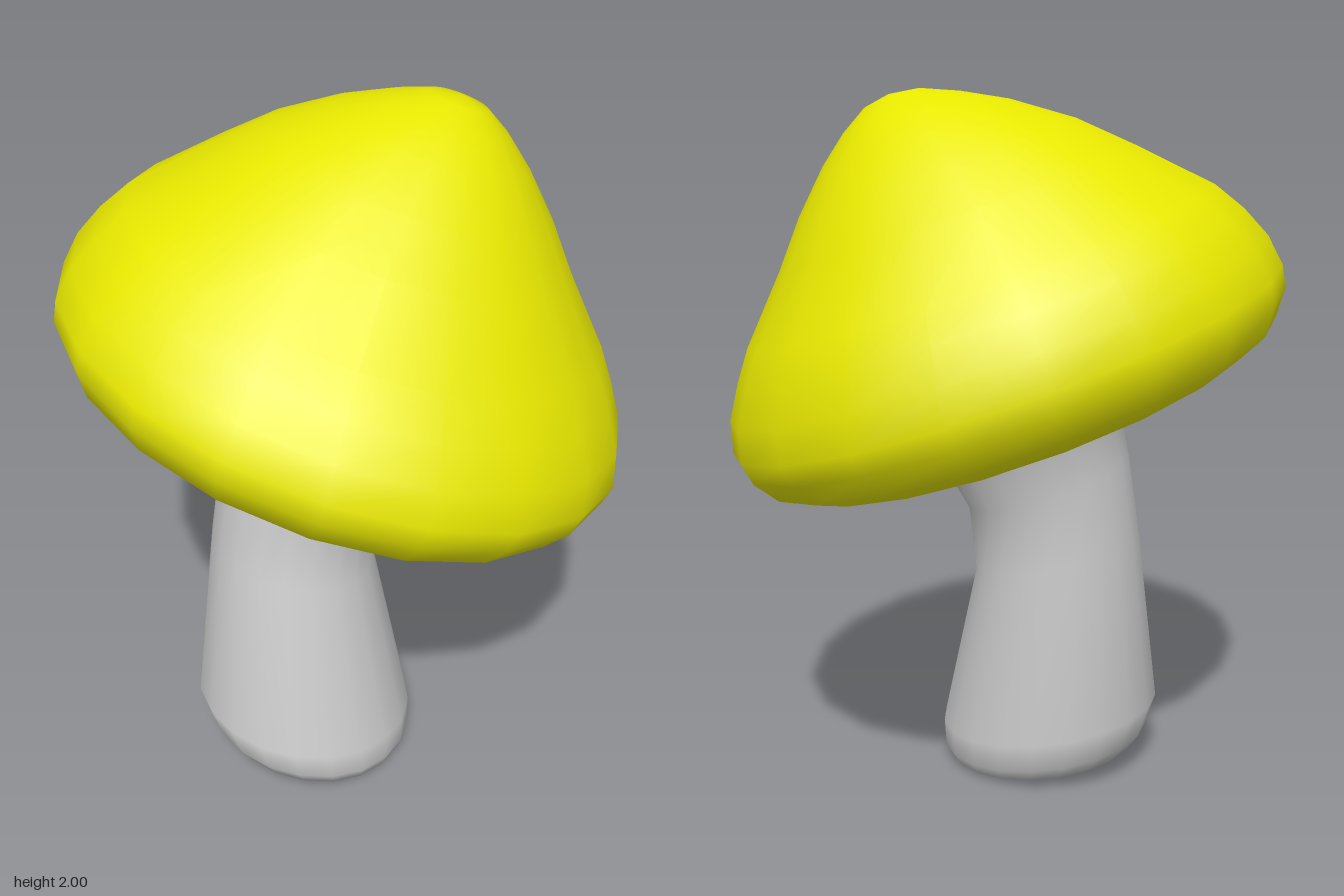
import * as THREE from 'three';

// Skin through tilted rings { c: [x, y, z], rx, rz, s }; s is how far the ring drops towards +x and -z.
// Rings run bottom to top for outward faces; zero-size end rings close as a single pole point.
function loft(rings, sides) {
  const pos = [], index = [], rows = [];
  for (const { c, rx, rz = rx, s = 0 } of rings) {
    const start = pos.length / 3;
    const count = rx === 0 ? 1 : sides;
    for (let i = 0; i < count; i++) {
      const a = (i / sides) * Math.PI * 2;
      const dx = Math.sin(a) * rx, dz = Math.cos(a) * rz;
      pos.push(c[0] + dx, c[1] + s * (dz - dx), c[2] + dz);
    }
    rows.push({ start, count });
  }
  for (let r = 0; r < rows.length - 1; r++) {
    const lo = rows[r], hi = rows[r + 1];
    const at = (row, i) => row.start + (i % row.count);
    for (let i = 0; i < sides; i++) {
      if (lo.count > 1) index.push(at(lo, i), at(lo, i + 1), at(hi, i + 1));
      if (hi.count > 1) index.push(at(lo, i), at(hi, i + 1), at(hi, i));
    }
  }
  const geo = new THREE.BufferGeometry();
  geo.setAttribute('position', new THREE.Float32BufferAttribute(pos, 3));
  geo.setIndex(index);
  geo.computeVertexNormals();
  return geo;
}

function part(name, geometry, color) {
  const mesh = new THREE.Mesh(geometry, new THREE.MeshStandardMaterial({ color }));
  mesh.name = name;
  return mesh;
}

export function createModel() {
  const model = new THREE.Group();
  model.name = 'mushroom';

  // Leaning stem: pinched in the middle, flared at the top, rounded foot
  const stem = [
    // x, y, z, rx, rz, slope
    [0.005, 0.036, 0.175, 0, 0, 0.085],
    [0.005, 0.036, 0.175, 0.285, 0.275, 0.085],
    [-0.005, 0.08, 0.175, 0.312, 0.305, 0.09],
    [-0.018, 0.17, 0.18, 0.327, 0.325, 0.1],
    [-0.077, 0.68, 0.15, 0.238, 0.245, 0.15],
    [-0.07, 0.895, 0.118, 0.23, 0.237, 0.23],
    [-0.035, 1.06, 0.065, 0.255, 0.265, 0.23],
    [-0.025, 1.23, 0.03, 0.32, 0.31, 0.25],
    [0.0, 1.34, -0.01, 0.25, 0.25, 0.25],
    [0.01, 1.38, -0.02, 0, 0, 0.25],
  ].map(([x, y, z, rx, rz, s]) => ({ c: [x, y, z], rx, rz, s }));
  model.add(part('stem', loft(stem, 20), 0xcccccc));

  // Tilted cap group, its own y axis pointing at the tip
  const cap = new THREE.Group();
  cap.name = 'cap';
  cap.position.set(-0.03, 1.12, 0.045);
  cap.quaternion.setFromUnitVectors(
    new THREE.Vector3(0, 1, 0), new THREE.Vector3(0.215, 0.94, -0.25).normalize());
  model.add(cap);

  // Outer skin from the lip to the tip; the rings drift sideways and bend backwards
  const skin = [
    // radius, height, sideways drift
    [0.59, 0, 0], [0.67, -0.012, 0], [0.755, 0.03, 0], [0.802, 0.1, 0], [0.812, 0.16, 0],
    [0.79, 0.25, -0.01], [0.74, 0.34, -0.025], [0.68, 0.425, -0.035], [0.515, 0.592, -0.04],
    [0.4, 0.71, -0.035], [0.27, 0.815, -0.02], [0.17, 0.878, -0.005], [0.08, 0.922, 0.005], [0, 0.935, 0.01],
  ].map(([r, h, x]) => ({ c: [x, h, -0.07 * Math.pow(Math.max(h, 0) / 0.935, 3)], rx: r }));
  cap.add(part('capSkin', loft(skin, 20), 0xe7e700));

  // Hollow underside, listed top to bottom so that it faces down
  const hollow = [[0, 0.25], [0.3, 0.22], [0.48, 0.14], [0.59, 0]]
    .map(([r, h]) => ({ c: [0, h, 0], rx: r }));
  cap.add(part('capUnderside', loft(hollow, 20), 0x0000ab));

  return model;
}
